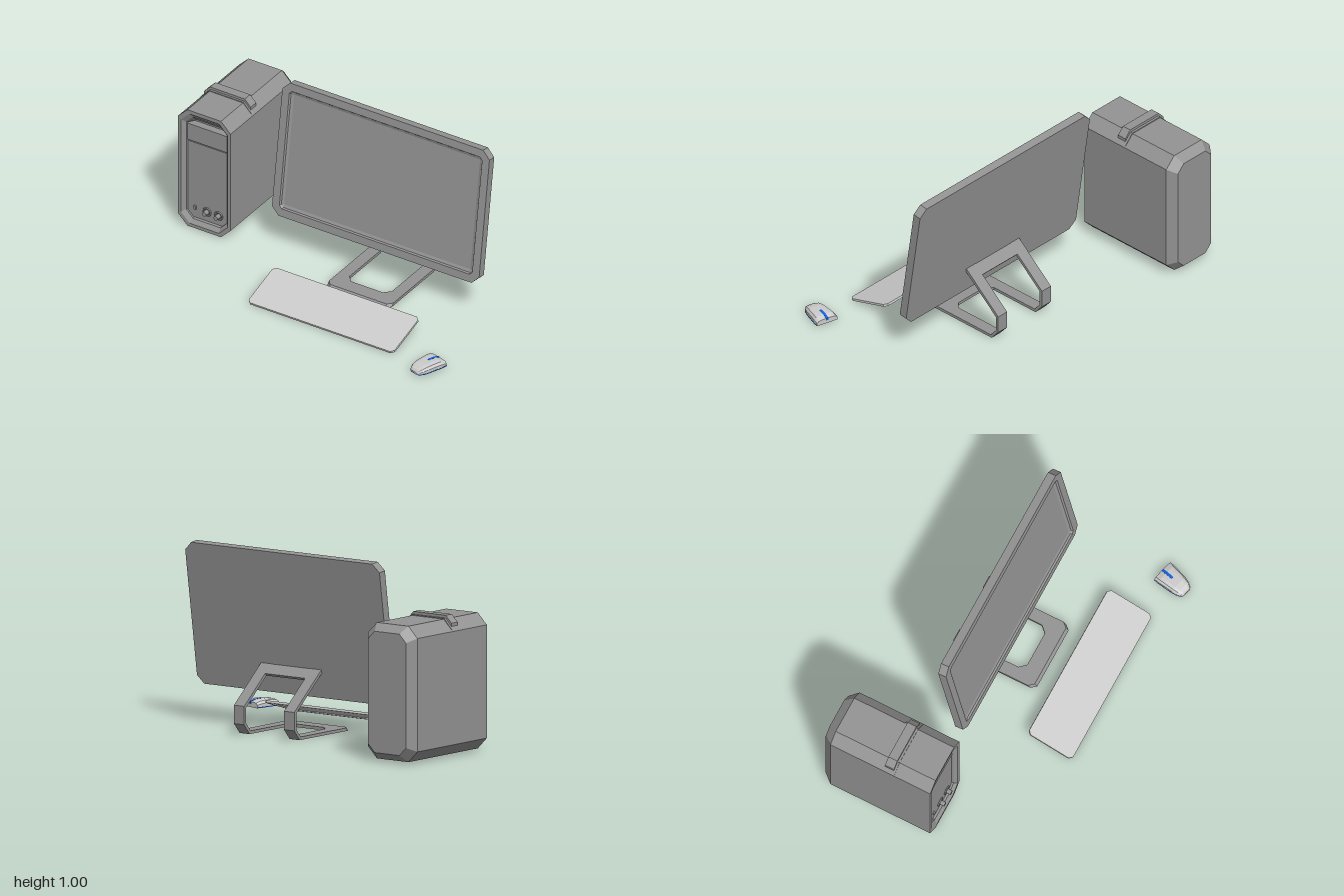
import * as THREE from 'three';

const paint = (color) => new THREE.MeshStandardMaterial({ color, side: THREE.DoubleSide, flatShading: true });
const dark = paint(0x949494);
const grey = paint(0xcccccc);
const light = paint(0xd8d8d8);
const blue = paint(0x1060e0);

function mesh(name, geometry, material = dark) {
  const m = new THREE.Mesh(geometry, material);
  m.name = name;
  return m;
}

// Rectangle with cut corners, counter-clockwise seen from +z
function octagon(x0, x1, y0, y1, c, z) {
  return [[x1, y0 + c], [x1, y1 - c], [x1 - c, y1], [x0 + c, y1],
    [x0, y1 - c], [x0, y0 + c], [x0 + c, y0], [x1 - c, y0]].map(([x, y]) => [x, y, z]);
}

// Joins rings running from front to back and caps both ends; skip(i, j) leaves a facet open
function loft(rings, skip = () => false) {
  const pos = [];
  const tri = (...p) => p.forEach((q) => pos.push(...q));
  const n = rings[0].length;
  for (let i = 0; i < rings.length - 1; i++) {
    for (let j = 0; j < n; j++) {
      if (skip(i, j)) continue;
      const k = (j + 1) % n, a = rings[i], b = rings[i + 1];
      tri(a[j], b[j], a[k]);
      tri(a[k], b[j], b[k]);
    }
  }
  const first = rings[0], last = rings[rings.length - 1];
  for (let j = 1; j < n - 1; j++) {
    tri(first[0], first[j], first[j + 1]);
    tri(last[0], last[j + 1], last[j]);
  }
  const g = new THREE.BufferGeometry();
  g.setAttribute('position', new THREE.Float32BufferAttribute(pos, 3));
  g.computeVertexNormals();
  return g;
}

function extrude(points, depth) {
  const shape = new THREE.Shape(points.map(([x, y]) => new THREE.Vector2(x, y)));
  return new THREE.ExtrudeGeometry(shape, { depth, bevelEnabled: false });
}

function box(name, w, h, d, x, y, z) {
  const m = mesh(name, new THREE.BoxGeometry(w, h, d));
  m.position.set(x, y, z);
  return m;
}

function createTower() {
  const tower = new THREE.Group();
  tower.name = 'computerTower';
  // Shell with a recessed front, a tapered back and an open underside
  tower.add(mesh('case', loft([
    octagon(-0.955, -0.695, 0.06, 0.66, 0.03, -0.03),
    octagon(-0.957, -0.693, 0.055, 0.708, 0.045, 0.022),
    octagon(-0.98, -0.68, 0.03, 0.733, 0.055, 0.04),
    octagon(-1, -0.66, 0.01, 0.755, 0.062, 0.04),
    octagon(-1, -0.66, 0.01, 0.755, 0.062, -0.57),
    octagon(-0.96, -0.7, 0.05, 0.715, 0.045, -0.62),
  ], (i, j) => i === 3 && j === 6)));
  // Front panel and drive bay cover
  const panel = mesh('frontPanel', extrude([[-0.925, 0.06], [-0.725, 0.06], [-0.695, 0.09],
    [-0.695, 0.538], [-0.955, 0.538], [-0.955, 0.09]], 0.04));
  panel.position.z = -0.03;
  tower.add(panel, box('driveBay', 0.26, 0.104, 0.044, -0.825, 0.598, -0.008));
  // Front controls
  for (const x of [-0.83, -0.755]) {
    const ring = mesh('buttonRing', new THREE.TorusGeometry(0.022, 0.006, 6, 16));
    ring.position.set(x, 0.12, 0.012);
    const button = mesh('button', new THREE.CylinderGeometry(0.013, 0.013, 0.034, 16));
    button.rotation.x = Math.PI / 2;
    button.position.set(x, 0.12, 0.025);
    tower.add(ring, button);
  }
  tower.add(box('frontSocket', 0.014, 0.022, 0.012, -0.905, 0.125, 0.014));
  // Stepped band across the top
  const base = mesh('bandBase', extrude([[-0.664, 0.7], [-0.72, 0.76], [-0.94, 0.76], [-0.996, 0.7]], 0.08));
  base.position.z = -0.26;
  const band = mesh('band', extrude([[-0.68, 0.7], [-0.68, 0.735], [-0.718, 0.775],
    [-0.942, 0.775], [-0.98, 0.735], [-0.98, 0.7]], 0.054));
  band.position.z = -0.246;
  tower.add(base, band);
  return tower;
}

function createMonitor() {
  const w = 0.667, h = 0.399, t = 0.024;
  const ring = (inset, c, z) => octagon(-w + inset, w - inset, -h + inset, h - inset, c, z);
  const monitor = mesh('monitor', loft([
    ring(0.068, 0.004, t - 0.016),
    ring(0.052, 0.014, t - 0.01),
    ring(0.046, 0.016, t),
    ring(0, 0.045, t),
    ring(0, 0.045, -t),
  ]));
  monitor.position.set(0.217, 0.607, -0.124);
  monitor.rotation.x = -0.147;
  return monitor;
}

function createStand() {
  const stand = new THREE.Group();
  stand.name = 'monitorStand';
  const x0 = 0.016, x1 = 0.43, leg = 0.07;
  // Bent side legs, drawn in (z, y)
  const profile = [[0.05, 0.005], [-0.303, 0.005], [-0.352, 0.062], [-0.352, 0.163], [-0.114, 0.367],
    [-0.104, 0.353], [-0.334, 0.155], [-0.334, 0.068], [-0.296, 0.022], [0.05, 0.022]];
  for (const x of [x0, x1 - leg]) {
    const g = extrude(profile.map(([z, y]) => [-z, y]), leg);
    g.rotateY(Math.PI / 2);
    const m = mesh('standLeg', g);
    m.position.x = x;
    stand.add(m);
  }
  // Front foot with cut corners, drawn in (x, -z); its front edge slopes back towards the top
  const g = extrude([[x0, -0.05], [x0, -0.12], [x0 + 0.025, -0.148], [x1 - 0.025, -0.148], [x1, -0.12],
    [x1, -0.05], [x1 - leg, -0.05], [x1 - leg, -0.008], [x1 - leg - 0.035, -0.045],
    [x0 + leg + 0.035, -0.045], [x0 + leg, -0.008], [x0 + leg, -0.05]], 0.017);
  const p = g.attributes.position;
  for (let i = 0; i < p.count; i++) {
    if (p.getZ(i) > 0.01 && p.getY(i) < -0.1) p.setY(i, p.getY(i) + 0.016);
  }
  const foot = mesh('standFoot', g);
  foot.rotation.x = -Math.PI / 2;
  foot.position.y = 0.005;
  stand.add(foot);
  // Crossbar behind the screen, in line with the sloping legs
  const bar = box('standCrossbar', x1 - x0 - 2 * leg, 0.017, 0.07, (x0 + x1) / 2, 0.337, -0.136);
  bar.rotation.x = -Math.atan2(0.204, 0.238);
  stand.add(bar);
  return stand;
}

function createKeyboard() {
  const ring = (inset, z) => octagon(-0.47 + inset, 0.47 - inset, -0.14 + inset, 0.14 - inset, 0.018, z);
  const keyboard = mesh('keyboard', loft([ring(0, 0.0065), ring(0, -0.0065), ring(0.012, -0.0065), ring(0.014, 0)]), light);
  keyboard.position.set(0.22, 0.047, 0.375);
  keyboard.rotation.x = -1.283;
  return keyboard;
}

function createMouse() {
  const mouse = new THREE.Group();
  mouse.name = 'mouse';
  // Sections from rear to front: z, half width, height
  const sections = [[0.094, 0.024, 0.008], [0.085, 0.037, 0.02], [0.065, 0.048, 0.031], [0.035, 0.055, 0.037],
    [-0.02, 0.061, 0.038], [-0.055, 0.065, 0.036], [-0.085, 0.065, 0.026]];
  const body = loft(sections.map(([z, w, h]) => [[w, -0.004, z], [w, 0.5 * h, z], [0.82 * w, 0.88 * h, z], [0.5 * w, h, z],
    [-0.5 * w, h, z], [-0.82 * w, 0.88 * h, z], [-w, 0.5 * h, z], [-w, -0.004, z]]));
  mouse.add(mesh('mouseBody', body, grey));
  // Coloured line around the base
  const half = sections.map(([z, w]) => [w + 0.001, -z]);
  const rim = mesh('mouseRim', extrude([...half, ...half.map(([x, y]) => [-x, y]).reverse()], 0.005), blue);
  rim.rotation.x = -Math.PI / 2;
  rim.position.y = -0.0035;
  mouse.add(rim);
  // Coloured strip along the top front
  const strip = [[-0.01, 0.0385], [-0.02, 0.039], [-0.055, 0.037], [-0.086, 0.027], [-0.086, 0.014], [-0.01, 0.03]];
  const g = extrude(strip.map(([z, y]) => [-z, y]), 0.015);
  g.rotateY(Math.PI / 2);
  g.translate(-0.0075, 0, 0);
  mouse.add(mesh('mouseStrip', g, blue));
  mouse.position.set(0.917, 0.01, 0.523);
  mouse.rotation.y = -0.26;
  return mouse;
}

export function createModel() {
  const model = new THREE.Group();
  model.name = 'desktopComputer';
  model.add(createTower(), createMonitor(), createStand(), createKeyboard(), createMouse());
  return model;
}
